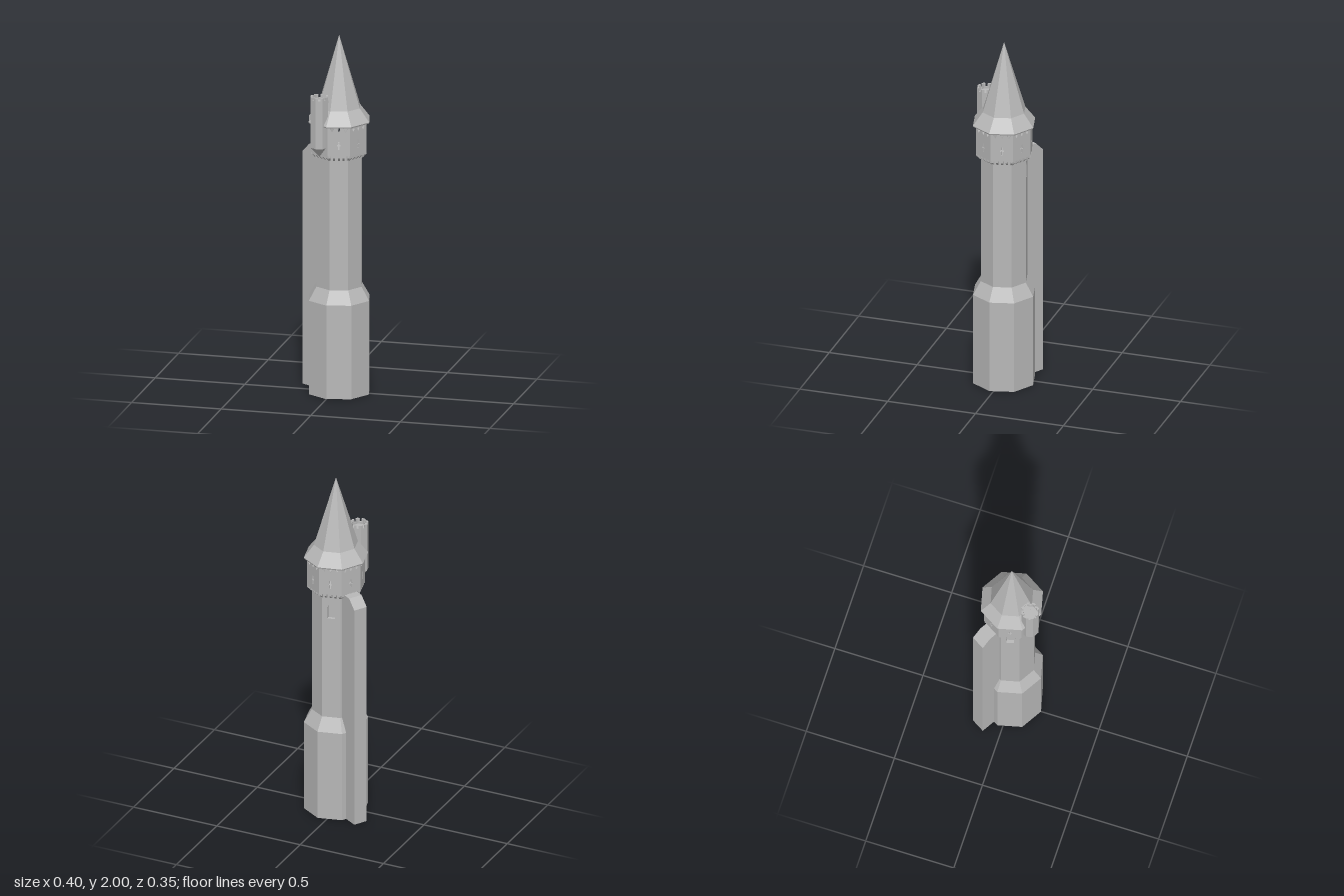
import * as THREE from 'three';

const rad = THREE.MathUtils.degToRad;
const STEP = Math.PI / 8;
const TURN = rad(-8.5); // octagon corner offset

export function createModel() {
  const stone = new THREE.MeshStandardMaterial({ color: 0xb8b8b8, side: THREE.DoubleSide });
  stone.name = 'grey stone';
  const model = new THREE.Group();
  model.name = 'tower';
  const tower = new THREE.Group();
  tower.name = 'towerBody';
  tower.position.set(0.026, 0, -0.004);
  model.add(tower);

  const add = (parent, name, geometry, x = 0, y = 0, z = 0) => {
    const g = geometry.index ? geometry.toNonIndexed() : geometry;
    g.computeVertexNormals();
    const mesh = new THREE.Mesh(g, stone);
    mesh.name = name;
    mesh.position.set(x, y, z);
    parent.add(mesh);
    return mesh;
  };
  const ring = (name, y0, y1, r0, r1, parent = tower, turn = TURN) =>
    add(parent, name, new THREE.CylinderGeometry(r1, r0, y1 - y0, 8, 1, true, turn), 0, (y0 + y1) / 2, 0);
  // Group whose +z looks out of facet number i
  const facet = (name, i, parent = tower, turn = TURN) => {
    const g = new THREE.Group();
    g.name = name;
    g.rotation.y = turn + (2 * i + 1) * STEP;
    parent.add(g);
    return g;
  };
  const path = (pts, Type = THREE.Shape) => new Type(pts.map(([x, y]) => new THREE.Vector2(x, y)));
  const slab = (shape, depth) =>
    new THREE.ExtrudeGeometry(shape, { depth, bevelEnabled: false, curveSegments: 5 }).translate(0, 0, -depth);

  // Wide base and its sloping shoulder
  ring('base', 0, 0.525, 0.176, 0.176);
  ring('baseShoulder', 0.525, 0.6, 0.176, 0.132);

  // Pointed-arch opening
  const arch = (Type) => {
    const p = new Type();
    p.moveTo(-0.02, 1.2);
    p.lineTo(0.02, 1.2);
    p.lineTo(0.02, 1.265);
    p.quadraticCurveTo(0.018, 1.285, 0, 1.303);
    p.quadraticCurveTo(-0.018, 1.285, -0.02, 1.265);
    p.closePath();
    return p;
  };

  // Facet indices, counted round from the front corner
  const BUTTRESS = 5, TURRET = 7, WINDOWS = [4, 6];

  // Shaft walls, two with a recessed window
  const R = 0.132, halfShaft = R * Math.sin(STEP), apShaft = R * Math.cos(STEP);
  for (let i = 0; i < 8; i++) {
    const f = facet('shaftSide', i);
    const wall = path([[-halfShaft, 0.6], [halfShaft, 0.6], [halfShaft, 1.36], [-halfShaft, 1.36]]);
    if (WINDOWS.includes(i)) {
      wall.holes.push(arch(THREE.Path));
      add(f, 'windowPane', new THREE.ShapeGeometry(arch(THREE.Shape), 5), 0, 0, apShaft - 0.018);
    }
    add(f, 'shaftWall', slab(wall, 0.018), 0, 0, apShaft);
  }

  // Overhanging gallery: walls with arrow slits, notched tops and corbels
  const H = 0.16, halfHead = H * Math.sin(STEP), apHead = H * Math.cos(STEP);
  const floor = new THREE.CircleGeometry(H, 8, TURN - Math.PI / 2).rotateX(Math.PI / 2);
  add(tower, 'galleryFloor', floor, 0, 1.358, 0).rotation.y = 2 * TURN;
  for (let i = 0; i < 8; i++) {
    const f = facet('gallerySide', i);
    const pts = [[-halfHead, 1.358], [halfHead, 1.358], [halfHead, 1.522]];
    for (let k = 1; k >= -1; k--) {
      const x = k * halfHead * 0.6;
      pts.push([x + 0.012, 1.522], [x + 0.008, 1.505], [x, 1.493], [x - 0.008, 1.505], [x - 0.012, 1.522]);
    }
    pts.push([-halfHead, 1.522]);
    const wall = path(pts);
    wall.holes.push(path([
      [-0.004, 1.395], [0.004, 1.395], [0.004, 1.416], [0.01, 1.416], [0.01, 1.424], [0.004, 1.424],
      [0.004, 1.442], [-0.004, 1.442], [-0.004, 1.424], [-0.01, 1.424], [-0.01, 1.416], [-0.004, 1.416],
    ], THREE.Path));
    add(f, 'galleryWall', slab(wall, 0.012), 0, 0, apHead);
    for (let k = 0; k < 5; k++) {
      const corbel = path([[apShaft - 0.005, 1.325], [apShaft + 0.008, 1.33], [apHead, 1.348], [apHead, 1.36], [apShaft - 0.005, 1.36]]);
      const g = new THREE.ExtrudeGeometry(corbel, { depth: 0.011, bevelEnabled: false });
      g.translate(0, 0, -0.0055).rotateY(-Math.PI / 2);
      add(f, 'corbel', g, (k - 2) * halfHead * 0.42, 0, 0);
    }
  }

  // Flared spire
  ring('eaveLip', 1.52, 1.527, 0.174, 0.177);
  ring('roofFlare', 1.527, 1.6, 0.177, 0.121);
  ring('spire', 1.6, 2, 0.121, 0);

  // Full-height buttress with a sloping head
  const side = path([[0.1, 0], [0.243, 0], [0.243, 1.305], [0.192, 1.356], [0.1, 1.356]]);
  const buttress = new THREE.ExtrudeGeometry(side, { depth: 0.08, bevelEnabled: false });
  buttress.translate(0, 0, -0.04).rotateY(-Math.PI / 2);
  add(facet('buttressSide', BUTTRESS), 'buttress', buttress);

  // Corner turret on a pointed bracket
  const turret = new THREE.Group();
  turret.name = 'turret';
  turret.position.z = apHead + 0.002;
  facet('turretSide', TURRET).add(turret);
  const T = 0.05, turn = STEP;
  ring('turretBracket', 1.345, 1.4, 0, T, turret, turn);
  ring('turretWall', 1.4, 1.66, T, T, turret, turn);
  const deck = new THREE.CircleGeometry(T, 8, STEP).rotateX(-Math.PI / 2);
  add(turret, 'turretDeck', deck, 0, 1.655, 0);
  add(turret, 'turretPassage', new THREE.BoxGeometry(0.038, 0.255, 0.075), 0, 1.528, -0.05);

  // Turret battlements, open toward the passage
  const halfT = T * Math.sin(STEP), apT = T * Math.cos(STEP);
  for (let i = 0; i < 8; i++) {
    if (i === 3) continue;
    const wall = path([[-halfT, 1.65], [halfT, 1.65], [halfT, 1.685], [0.006, 1.685], [0.006, 1.667],
      [-0.006, 1.667], [-0.006, 1.685], [-halfT, 1.685]]);
    add(facet('turretParapetSide', i, turret, turn), 'turretParapet', slab(wall, 0.01), 0, 0, apT);
  }
  return model;
}
